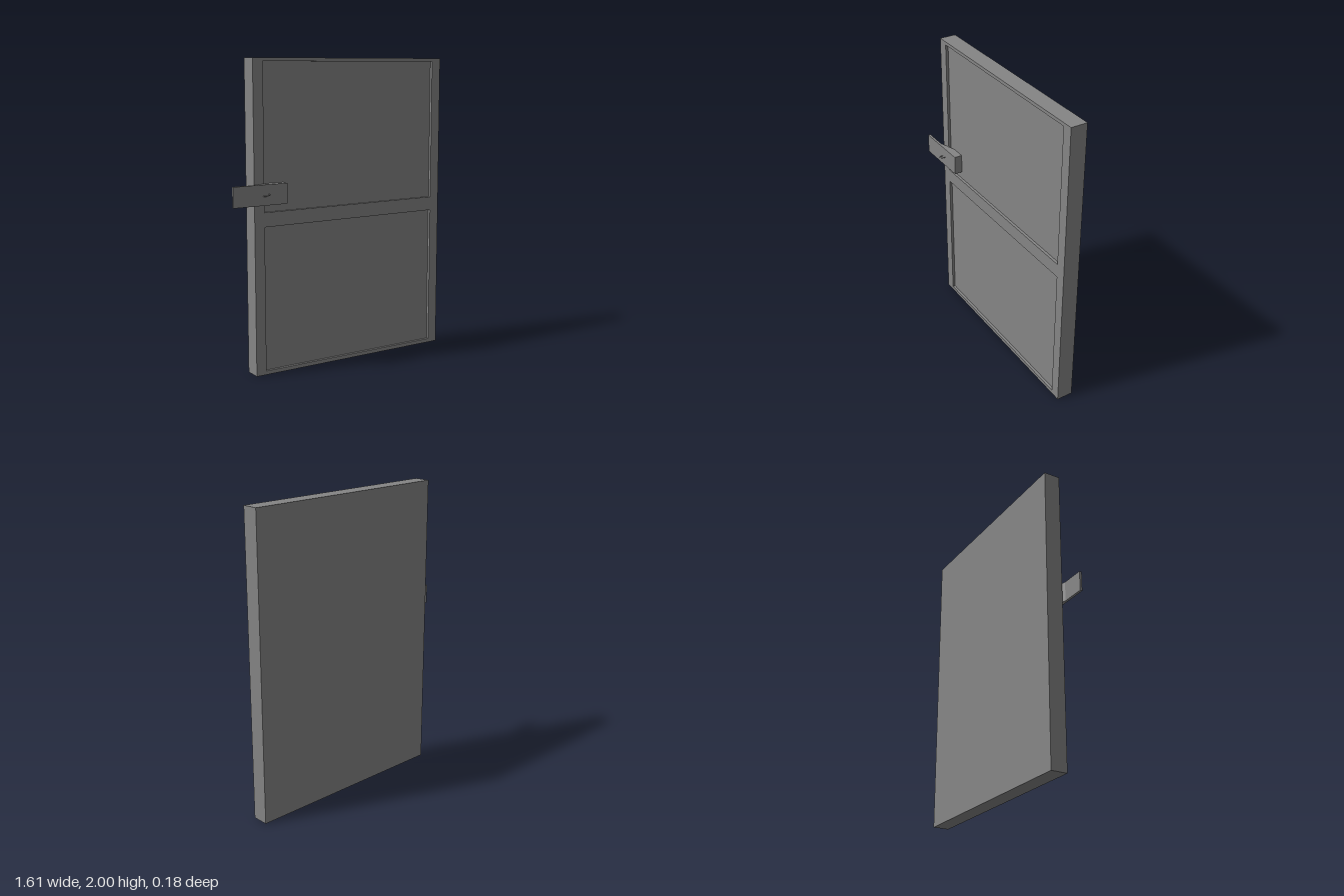
import * as THREE from 'three';

const material = new THREE.MeshStandardMaterial({ color: 0x858585 });

function addMesh(parent, name, geometry) {
  const mesh = new THREE.Mesh(geometry, material);
  mesh.name = name;
  parent.add(mesh);
  return mesh;
}

// Corner points of a rectangle, counter-clockwise
function rectangle(x0, y0, x1, y1) {
  return [[x0, y0], [x1, y0], [x1, y1], [x0, y1]].map(([x, y]) => new THREE.Vector2(x, y));
}

export function createModel() {
  const model = new THREE.Group();
  model.name = 'door';

  const left = -0.645, right = 0.806, height = 2;
  const back = -0.09, front = 0.02, recess = 0.018;

  // Solid slab behind the recessed panels
  const slabDepth = front - recess - back;
  const slab = addMesh(model, 'doorSlab', new THREE.BoxGeometry(right - left, height, slabDepth));
  slab.position.set((left + right) / 2, height / 2, back + slabDepth / 2);

  // Front frame with two panel openings
  const frameShape = new THREE.Shape(rectangle(left, 0, right, height));
  for (const [bottom, top] of [[0.025, 0.955], [1.047, 1.978]]) {
    frameShape.holes.push(new THREE.Path(rectangle(-0.575, bottom, 0.737, top).reverse()));
  }
  const frame = addMesh(model, 'panelFrame',
    new THREE.ExtrudeGeometry(frameShape, { depth: recess, bevelEnabled: false }));
  frame.position.z = front - recess;

  // Latch: thin tongue past the door edge, sloping into a block seated on the panel
  const latch = new THREE.Group();
  latch.name = 'latch';
  model.add(latch);
  const profile = [[-0.806, 0.055], [-0.43, 0.055], [-0.43, 0.002], [-0.533, 0.002], [-0.65, 0.039], [-0.806, 0.039]];
  const latchShape = new THREE.Shape(profile.map(([x, z]) => new THREE.Vector2(x, -z)));
  const plate = addMesh(latch, 'latchPlate',
    new THREE.ExtrudeGeometry(latchShape, { depth: 0.13, bevelEnabled: false }).rotateX(-Math.PI / 2));
  plate.position.y = 1.097;

  // Small tilted pull ring through the plate
  const ring = addMesh(latch, 'pullRing',
    new THREE.TorusGeometry(0.022, 0.0024, 8, 24).rotateX(Math.PI / 2).rotateZ(0.2));
  ring.position.set(-0.582, 1.161, 0.064);

  return model;
}
